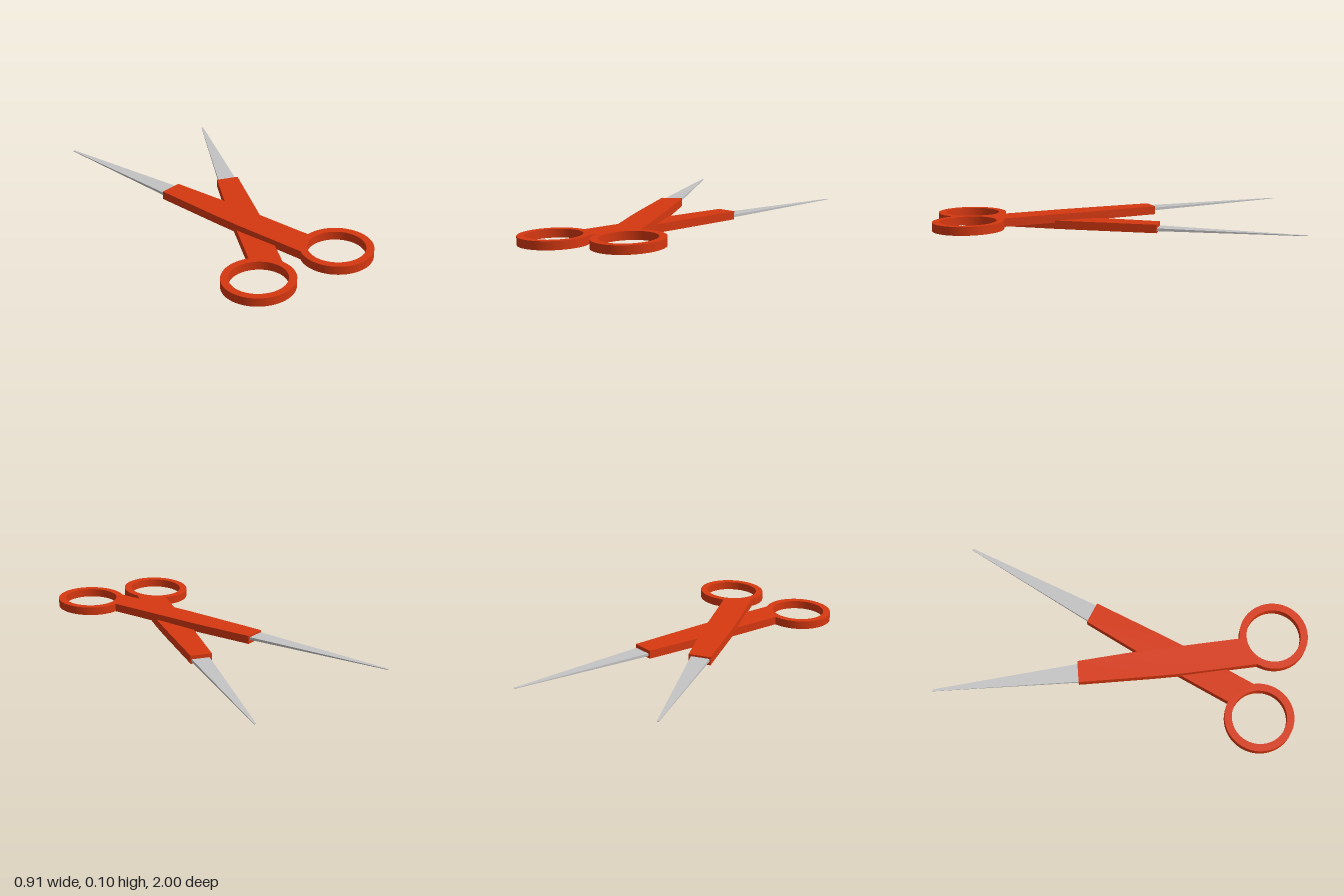
import * as THREE from 'three';
import { toCreasedNormals } from 'three/addons/utils/BufferGeometryUtils.js';

const handleMaterial = new THREE.MeshStandardMaterial({ color: 0xd63810 });
handleMaterial.name = 'orange red handle';
const bladeMaterial = new THREE.MeshStandardMaterial({ color: 0xc4c4c4 });
bladeMaterial.name = 'steel grey';

const HEIGHT = 0.105;
const THICKNESS = 0.047;
const RING = { x: 0.237, z: 0.805, outer: 0.193, inner: 0.152 };

// Slight tilt of each half: y = 0.073 + 0.034 x - 0.01 z
const tilt = new THREE.Matrix4().set(
  1, 0, 0, 0,
  0.034, 1, -0.01, 0.073,
  0, 0, 1, 0,
  0, 0, 0, 1
);

// Shank and finger ring as one plate with a round hole, drawn in x and z
function handleGeometry() {
  const start = Math.atan2(0.617 - RING.z, 0.182 - RING.x);
  const end = Math.atan2(0.745 - RING.z, 0.06 - RING.x);
  const shape = new THREE.Shape();
  shape.moveTo(-0.085, 0.336);
  shape.lineTo(-0.127, 0.2);
  shape.lineTo(-0.247, -0.213);
  shape.lineTo(-0.128, -0.246);
  shape.lineTo(0, 0.087);
  shape.lineTo(0.085, 0.336);
  shape.absarc(RING.x, RING.z, RING.outer, start, end + Math.PI * 2, false);
  shape.closePath();
  const hole = new THREE.Path();
  hole.absarc(RING.x, RING.z, RING.inner, 0, Math.PI * 2, true);
  shape.holes.push(hole);

  const plate = new THREE.ExtrudeGeometry(shape, {
    depth: THICKNESS, bevelEnabled: false, curveSegments: 48,
  });
  plate.rotateX(Math.PI / 2).translate(0, THICKNESS / 2, 0).applyMatrix4(tilt);
  return toCreasedNormals(plate, 0.4);
}

// Blade: a box tapered in width and thickness towards the tip
function bladeGeometry() {
  const box = new THREE.BoxGeometry(1, 1, 1);
  const p = box.attributes.position;
  for (let i = 0; i < p.count; i++) {
    const right = p.getX(i) > 0, top = p.getY(i) > 0 ? 1 : -1;
    if (p.getZ(i) > 0) {
      p.setXYZ(i, right ? -0.128 : -0.232, 0.005 + top * 0.008, right ? -0.21 : -0.18);
    } else {
      p.setXYZ(i, right ? -0.444 : -0.455, 0.006 + top * 0.0015, -1);
    }
  }
  box.applyMatrix4(tilt);
  const flat = box.toNonIndexed();
  flat.computeVertexNormals();
  return flat;
}

function makeHalf(name) {
  const half = new THREE.Group();
  half.name = name;
  const handle = new THREE.Mesh(handleGeometry(), handleMaterial);
  handle.name = 'handle';
  const blade = new THREE.Mesh(bladeGeometry(), bladeMaterial);
  blade.name = 'blade';
  half.add(handle, blade);
  return half;
}

export function createModel() {
  const model = new THREE.Group();
  model.name = 'scissors';
  const upper = makeHalf('upperHalf');
  // The lower half is the same part turned over
  const lower = makeHalf('lowerHalf');
  lower.rotation.z = Math.PI;
  lower.position.y = HEIGHT;
  model.add(upper, lower);
  return model;
}
